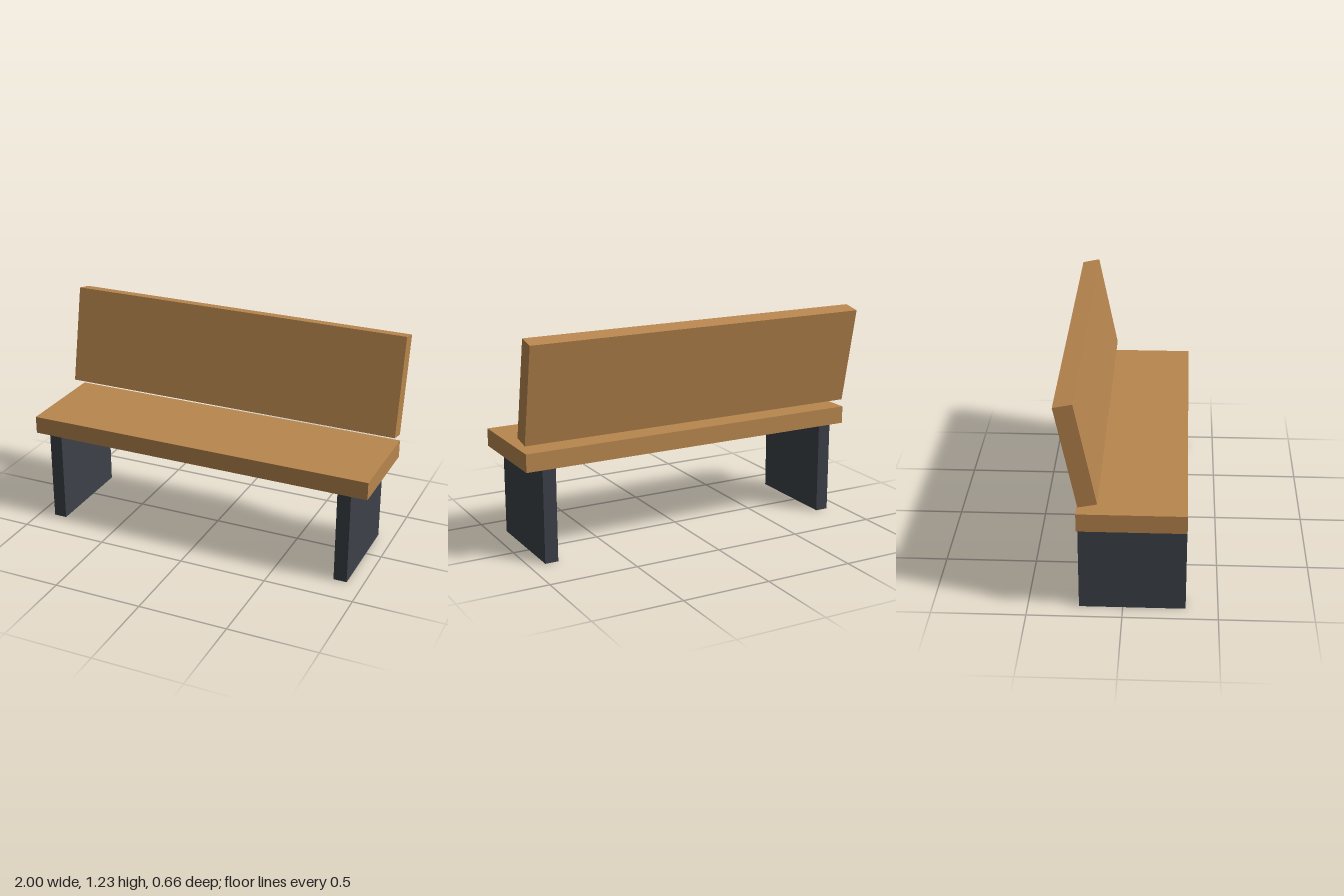
import * as THREE from 'three';

export function createModel() {
  const group = new THREE.Group();
  group.name = 'bench';

  const wood = new THREE.MeshStandardMaterial({ color: 0xb8864e });
  wood.name = 'wood';
  const iron = new THREE.MeshStandardMaterial({ color: 0x3c4148 });
  iron.name = 'dark iron';

  function addBox(name, material, size, position) {
    const mesh = new THREE.Mesh(new THREE.BoxGeometry(...size), material);
    mesh.name = name;
    mesh.position.set(...position);
    group.add(mesh);
    return mesh;
  }

  // Seat plank
  addBox('seat', wood, [2, 0.1, 0.56], [0, 0.57, 0.05]);

  // Backrest plank, floating above the seat and leaning back
  const backrest = addBox('backrest', wood, [2, 0.56, 0.1], [0, 0.945, -0.225]);
  backrest.rotation.x = -0.2;

  // Slab legs, flush with the seat front and back
  for (const [name, side] of [['leftLeg', 1], ['rightLeg', -1]]) {
    addBox(name, iron, [0.075, 0.52, 0.56], [side * 0.873, 0.26, 0.05]);
  }

  return group;
}
